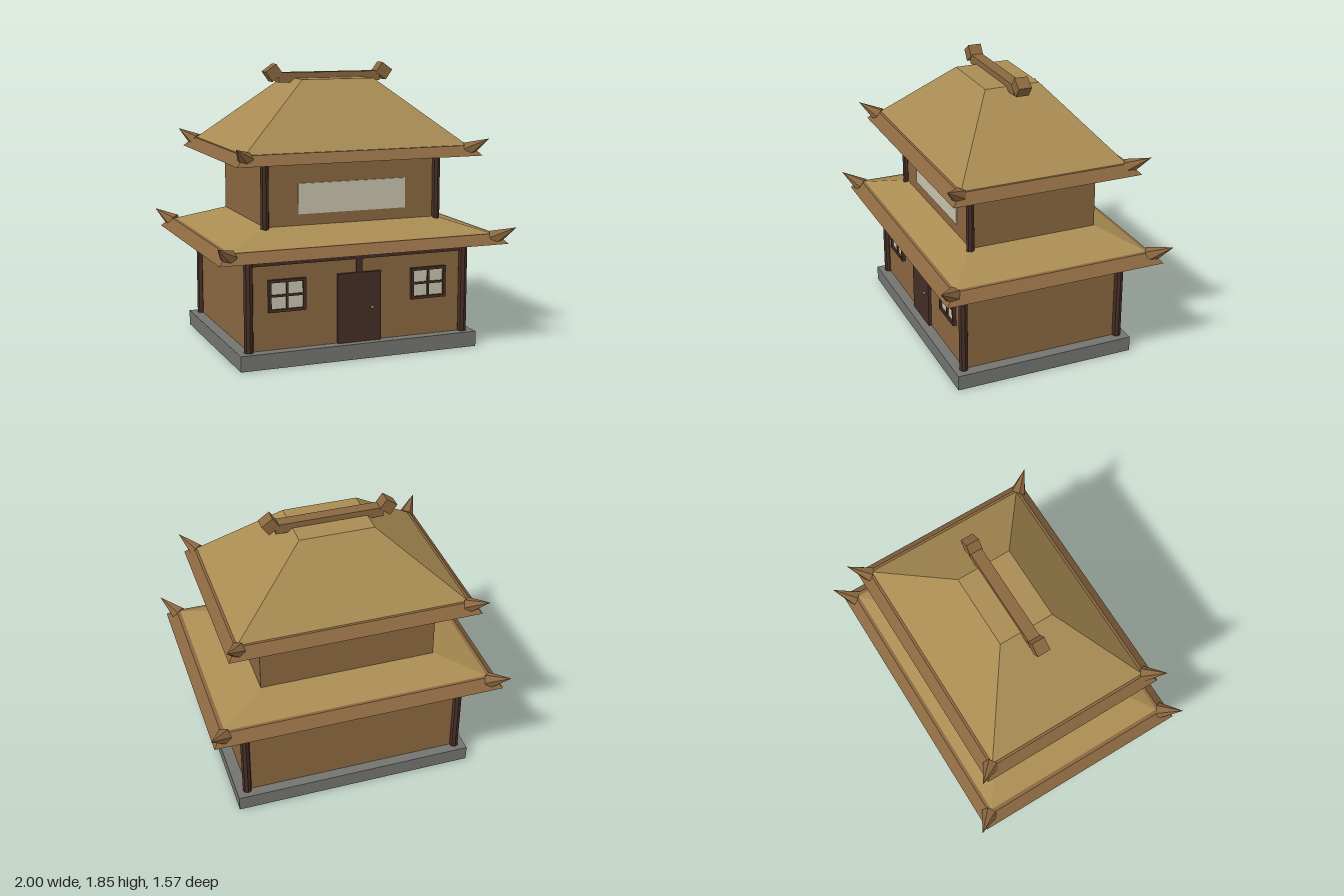
import * as THREE from 'three';

const mat = (name, color) => {
  const m = new THREE.MeshStandardMaterial({ color });
  m.name = name;
  return m;
};

export function createModel() {
  const wood = mat('warm wood', 0x8a6740);
  const dark = mat('dark timber', 0x452e26);
  const thatch = mat('straw roof', 0xa98c53);
  const paper = mat('window paper', 0xc8c2ad);
  const stone = mat('stone', 0x737470);
  const brass = mat('brass', 0xb0904e);

  const house = new THREE.Group();
  house.name = 'house';

  const add = (name, geo, material, x, y, z, parent = house) => {
    const mesh = new THREE.Mesh(geo, material);
    mesh.name = name;
    mesh.position.set(x, y, z);
    parent.add(mesh);
    return mesh;
  };

  // Box given by half width, bottom, top and half depth
  const block = (name, material, hx, y0, y1, hz, x = 0, z = 0, parent = house) =>
    add(name, new THREE.BoxGeometry(hx * 2, y1 - y0, hz * 2), material, x, (y0 + y1) / 2, z, parent);

  // Box whose top face is resized into a hipped slope
  const hip = (name, material, [bx, bz], y0, [tx, tz], y1) => {
    const geo = new THREE.BoxGeometry(bx * 2, y1 - y0, bz * 2);
    const p = geo.attributes.position;
    for (let i = 0; i < p.count; i++) {
      if (p.getY(i) > 0) {
        p.setX(i, Math.sign(p.getX(i)) * tx);
        p.setZ(i, Math.sign(p.getZ(i)) * tz);
      }
    }
    geo.computeVertexNormals();
    return add(name, geo, material, 0, (y0 + y1) / 2, 0);
  };

  const faceted = (geo) => {
    const flat = geo.toNonIndexed();
    flat.computeVertexNormals();
    return flat;
  };

  const post = (name, x, z, y0, y1, r) =>
    add(name, faceted(new THREE.CylinderGeometry(r, r, y1 - y0, 8)), dark, x, (y0 + y1) / 2, z);

  // Pointed ornaments at the four roof corners
  const horns = (name, base, tip, radius) => {
    for (const sx of [-1, 1]) for (const sz of [-1, 1]) {
      const a = new THREE.Vector3(base[0] * sx, base[1], base[2] * sz);
      const b = new THREE.Vector3(tip[0] * sx, tip[1], tip[2] * sz);
      const dir = b.clone().sub(a);
      const mid = a.clone().add(b).multiplyScalar(0.5);
      const horn = add(name, faceted(new THREE.ConeGeometry(radius, dir.length(), 6)), wood, mid.x, mid.y, mid.z);
      horn.quaternion.setFromUnitVectors(new THREE.Vector3(0, 1, 0), dir.normalize());
    }
  };

  // Ground floor
  block('foundation', stone, 0.81, 0, 0.1, 0.61);
  block('lowerWalls', wood, 0.735, 0.1, 0.7, 0.54);
  block('topBeam', dark, 0.747, 0.64, 0.702, 0.552);
  for (const x of [-0.738, 0.738]) for (const z of [-0.545, 0.545]) {
    post('lowerPost', x, z, 0.1, 0.702, 0.03);
  }

  // Door
  block('door', dark, 0.148, 0.1, 0.553, 0.015, 0, 0.545);
  block('doorStrut', dark, 0.02, 0.55, 0.645, 0.012, 0, 0.542);
  add('doorKnob', faceted(new THREE.SphereGeometry(0.012, 8, 6)), brass, 0.087, 0.32, 0.567);

  // Four-pane windows
  for (const x of [-0.487, 0.484]) {
    const win = new THREE.Group();
    win.name = 'window';
    win.position.set(x, 0.447, 0.54);
    house.add(win);
    block('windowPaper', paper, 0.115, -0.095, 0.095, 0.004, 0, 0.004, win);
    for (const s of [-1, 1]) {
      block('frameSide', dark, 0.009, -0.103, 0.103, 0.015, s * 0.114, 0.008, win);
      block('frameRail', dark, 0.123, s * 0.094 - 0.009, s * 0.094 + 0.009, 0.015, 0, 0.008, win);
    }
    block('muntinUpright', dark, 0.007, -0.095, 0.095, 0.01, 0, 0.008, win);
    block('muntinCross', dark, 0.115, -0.007, 0.007, 0.01, 0, 0.008, win);
  }

  // Lower roof
  hip('lowerEave', wood, [0.972, 0.735], 0.7, [0.91, 0.672], 0.762);
  hip('lowerRoof', thatch, [0.898, 0.66], 0.758, [0.59, 0.43], 0.858);
  horns('lowerHorn', [0.895, 0.733, 0.67], [0.998, 0.815, 0.785], 0.055);

  // Upper floor
  block('upperWalls', wood, 0.588, 0.84, 1.28, 0.43);
  for (const x of [-0.59, 0.59]) post('upperPost', x, 0.432, 0.845, 1.28, 0.027);
  block('paperScreen', paper, 0.367, 0.93, 1.125, 0.004, 0, 0.434);

  // Upper roof
  hip('upperEave', wood, [0.825, 0.63], 1.27, [0.768, 0.57], 1.333);
  hip('upperRoof', thatch, [0.758, 0.558], 1.328, [0.247, 0.184], 1.757);
  horns('upperHorn', [0.752, 1.307, 0.565], [0.845, 1.385, 0.678], 0.052);

  // Ridge beam with tilted end blocks
  block('ridgeBeam', wood, 0.355, 1.731, 1.795, 0.039);
  for (const s of [-1, 1]) {
    const end = add('ridgeEnd', new THREE.BoxGeometry(0.088, 0.08, 0.088), wood, s * 0.387, 1.794, 0);
    end.rotation.z = -s * 0.62;
  }

  return house;
}
